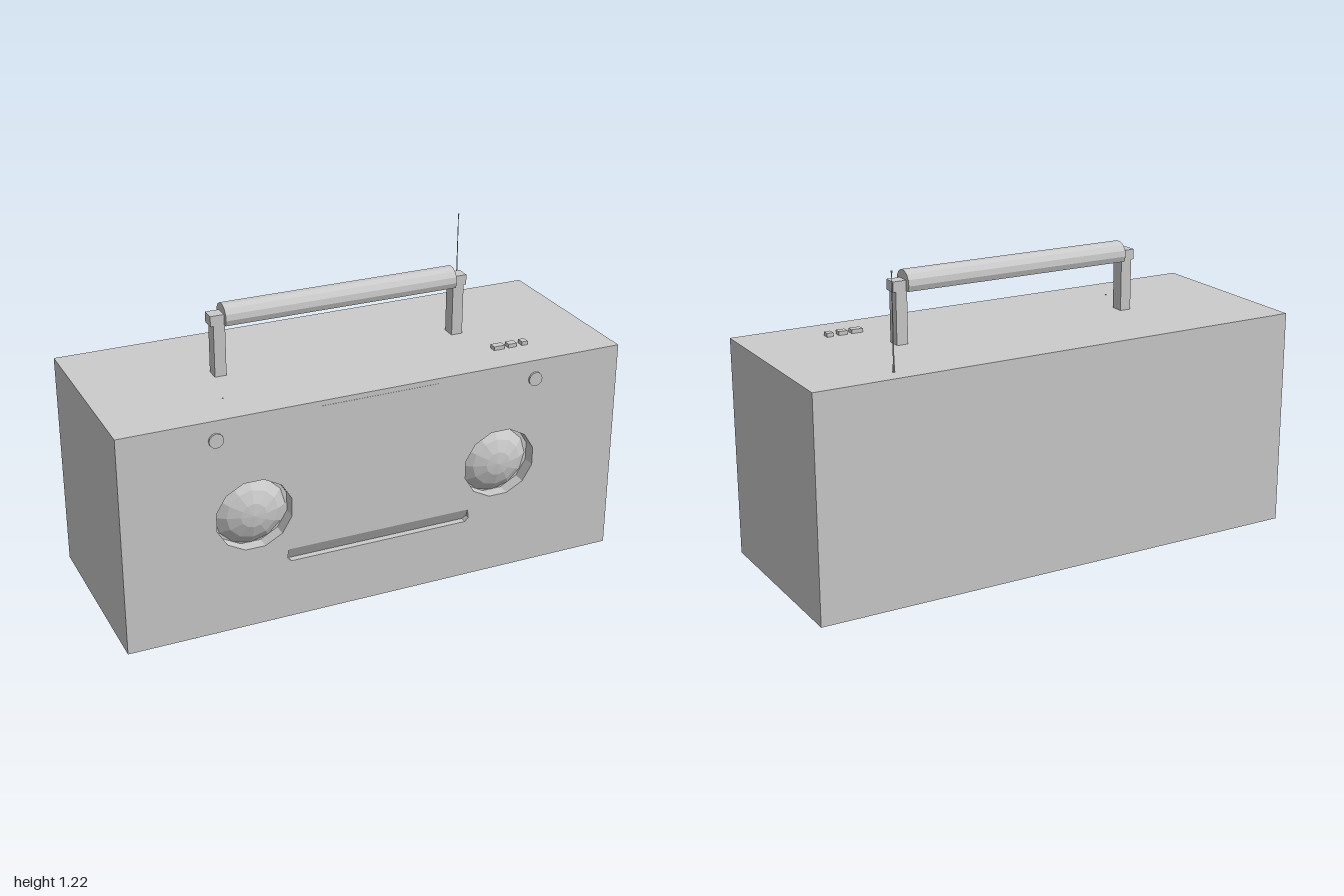
import * as THREE from 'three';

const FRONT = 0.375, BACK = -0.383, HEIGHT = 0.86, RECESS = 0.05;

export function createModel() {
  const model = new THREE.Group();
  const mat = new THREE.MeshStandardMaterial({ color: 0xcccccc, flatShading: true });
  const thinMat = new THREE.MeshStandardMaterial({ color: 0xcccccc, flatShading: true, side: THREE.DoubleSide });

  const add = (name, geometry, x = 0, y = 0, z = 0, material = mat) => {
    const mesh = new THREE.Mesh(geometry, material);
    mesh.name = name;
    mesh.position.set(x, y, z);
    model.add(mesh);
    return mesh;
  };
  // Box given by its lower and upper limits on each axis
  const block = (name, [x0, x1], [y0, y1], [z0, z1]) =>
    add(name, new THREE.BoxGeometry(x1 - x0, y1 - y0, z1 - z0), (x0 + x1) / 2, (y0 + y1) / 2, (z0 + z1) / 2);

  // Case, with a front panel pierced for the speakers and the groove
  block('caseBody', [-1, 1], [0, HEIGHT], [BACK, FRONT - RECESS]);
  const panel = new THREE.Shape([[-1, 0], [1, 0], [1, HEIGHT], [-1, HEIGHT]].map(p => new THREE.Vector2(...p)));
  const sides = 12;
  for (const s of [-1, 1]) {
    const ring = [];
    for (let i = 0; i < sides; i++) {
      const a = ((i + 0.5) / sides) * Math.PI * 2;
      ring.push(new THREE.Vector2(s * 0.5 + 0.15 * Math.cos(a), 0.458 + 0.14 * Math.sin(a)));
    }
    panel.holes.push(new THREE.Path(ring));
  }
  panel.holes.push(new THREE.Path([
    [-0.36, 0.235], [0.36, 0.235], [0.375, 0.25], [0.37, 0.285], [-0.37, 0.285], [-0.375, 0.25],
  ].map(p => new THREE.Vector2(...p))));
  add('frontPanel', new THREE.ExtrudeGeometry(panel, { depth: RECESS, bevelEnabled: false }), 0, 0, FRONT - RECESS);

  // Sloping floor of the groove
  const groove = add('grooveFloor', new THREE.PlaneGeometry(0.75, 0.056), 0, 0.26, FRONT - 0.0135, thinMat);
  groove.rotation.x = Math.atan2(0.025, 0.05);

  // Mirrored speakers, knobs and handle posts
  const domeProfile = [[0, 0.048], [0.05, 0.043], [0.1, 0.026], [0.138, 0]].map(p => new THREE.Vector2(...p)).reverse();
  for (const s of [-1, 1]) {
    const side = s > 0 ? 'left' : 'right';
    const dome = add(side + 'SpeakerDome', new THREE.LatheGeometry(domeProfile, sides), s * 0.5, 0.452, FRONT - RECESS);
    dome.rotation.x = Math.PI / 2;
    dome.scale.z = 0.95;

    const knob = add(side + 'Knob', new THREE.CylinderGeometry(0.028, 0.028, 0.02, 12), s * 0.638, 0.785, 0.373);
    knob.rotation.x = Math.PI / 2;

    add(side + 'HandlePost', new THREE.BoxGeometry(0.045, 0.24, 0.054), s * 0.487, 0.98, 0.002);
    add(side + 'HandleCap', new THREE.BoxGeometry(0.055, 0.04, 0.054), s * 0.493, 1.08, 0.002);
  }

  // Tape window, almost flush with the panel
  block('tapeWindow', [-0.235, 0.23], [0.71, 0.84], [FRONT - 0.01, FRONT + 0.001]);

  // Handle grip: a round bar with a flat underside
  const grip = new THREE.Shape();
  for (let i = 0; i <= 9; i++) {
    const a = THREE.MathUtils.degToRad(-33 + (246 * i) / 9);
    grip[i ? 'lineTo' : 'moveTo'](0.05 * Math.cos(a), 0.049 * Math.sin(a));
  }
  const bar = add('handleGrip', new THREE.ExtrudeGeometry(grip, { depth: 0.936, bevelEnabled: false }), -0.468, 1.086, 0.002);
  bar.rotation.y = Math.PI / 2;

  // Top buttons
  for (const [x0, x1] of [[0.54, 0.585], [0.602, 0.637], [0.66, 0.685]])
    block('topButton', [x0, x1], [HEIGHT - 0.005, 0.875], [0.202, 0.232]);
  block('topPin', [-0.55, -0.546], [HEIGHT - 0.002, HEIGHT + 0.002], [0.208, 0.212]);

  // Telescopic antenna
  const mast = [[0, 0.85], [0.005, 0.85], [0.005, 0.885], [0.003, 0.89], [0.002, 1.0], [0.0015, 1.21], [0.003, 1.213], [0.003, 1.22], [0, 1.22]];
  add('antenna', new THREE.LatheGeometry(mast.map(p => new THREE.Vector2(...p)), 8), 0.662, 0, -0.31);

  return model;
}
